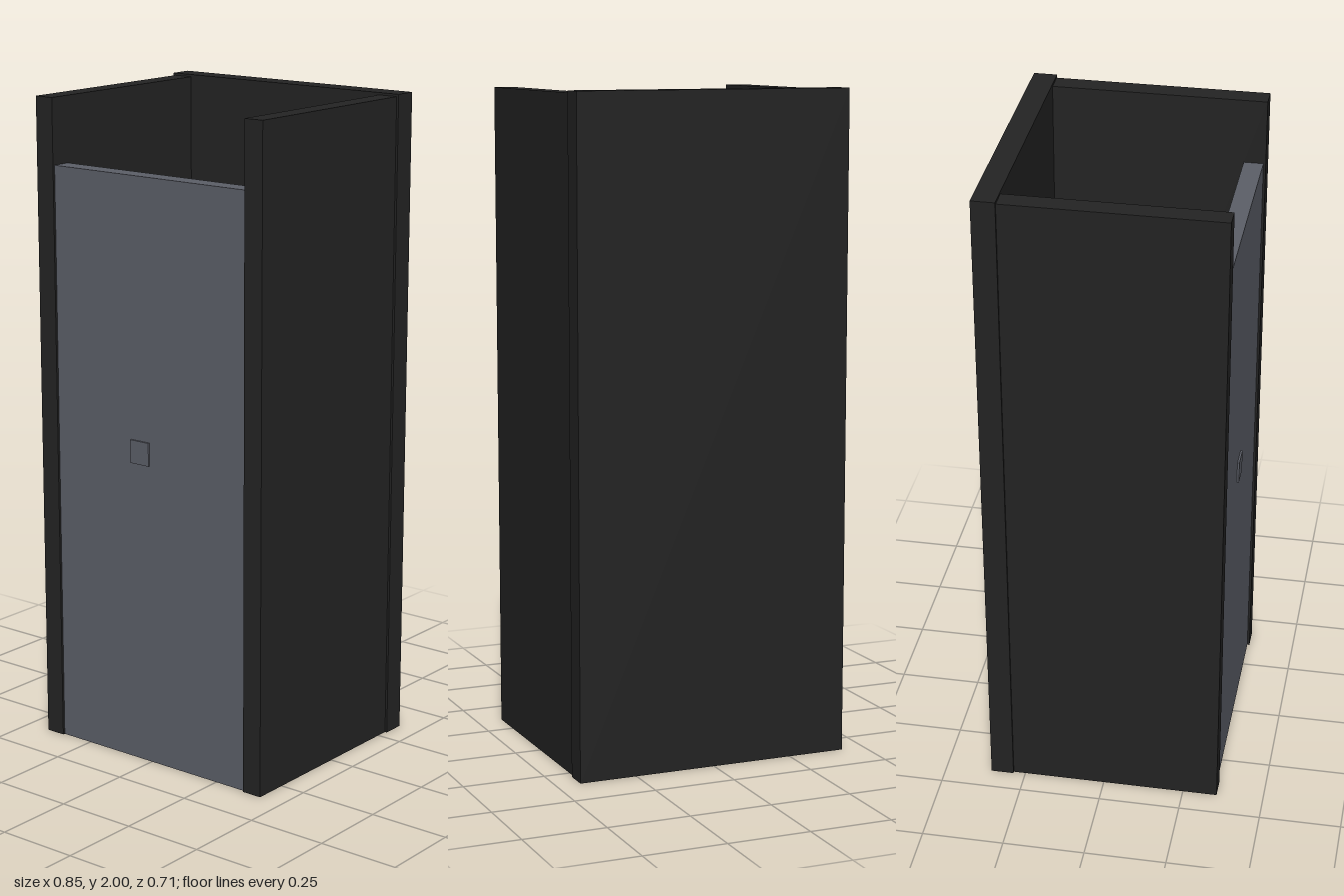
import * as THREE from 'three';

export function createModel() {
  const group = new THREE.Group();
  const charcoal = new THREE.MeshStandardMaterial({ color: 0x232323 });
  charcoal.name = 'charcoal';
  const slate = new THREE.MeshStandardMaterial({ color: 0x5c5f68 });
  slate.name = 'slate grey';

  // Box given by its extents on each axis
  const box = (name, material, [x0, x1], [y0, y1], [z0, z1]) => {
    const mesh = new THREE.Mesh(new THREE.BoxGeometry(x1 - x0, y1 - y0, z1 - z0), material);
    mesh.position.set((x0 + x1) / 2, (y0 + y1) / 2, (z0 + z1) / 2);
    mesh.name = name;
    group.add(mesh);
  };

  // Back wall, slightly wider and taller than the sides
  box('backWall', charcoal, [-0.427, 0.427], [0, 2], [-0.357, -0.287]);

  // Side walls
  box('leftWall', charcoal, [0.357, 0.42], [0, 1.993], [-0.287, 0.356]);
  box('rightWall', charcoal, [-0.42, -0.357], [0, 1.993], [-0.287, 0.356]);

  // Door between the side walls, open above, with a small block through it
  box('door', slate, [-0.357, 0.357], [0, 1.793], [0.29, 0.349]);
  box('doorHandle', slate, [-0.071, 0], [0.935, 1.006], [0.284, 0.355]);

  return group;
}
